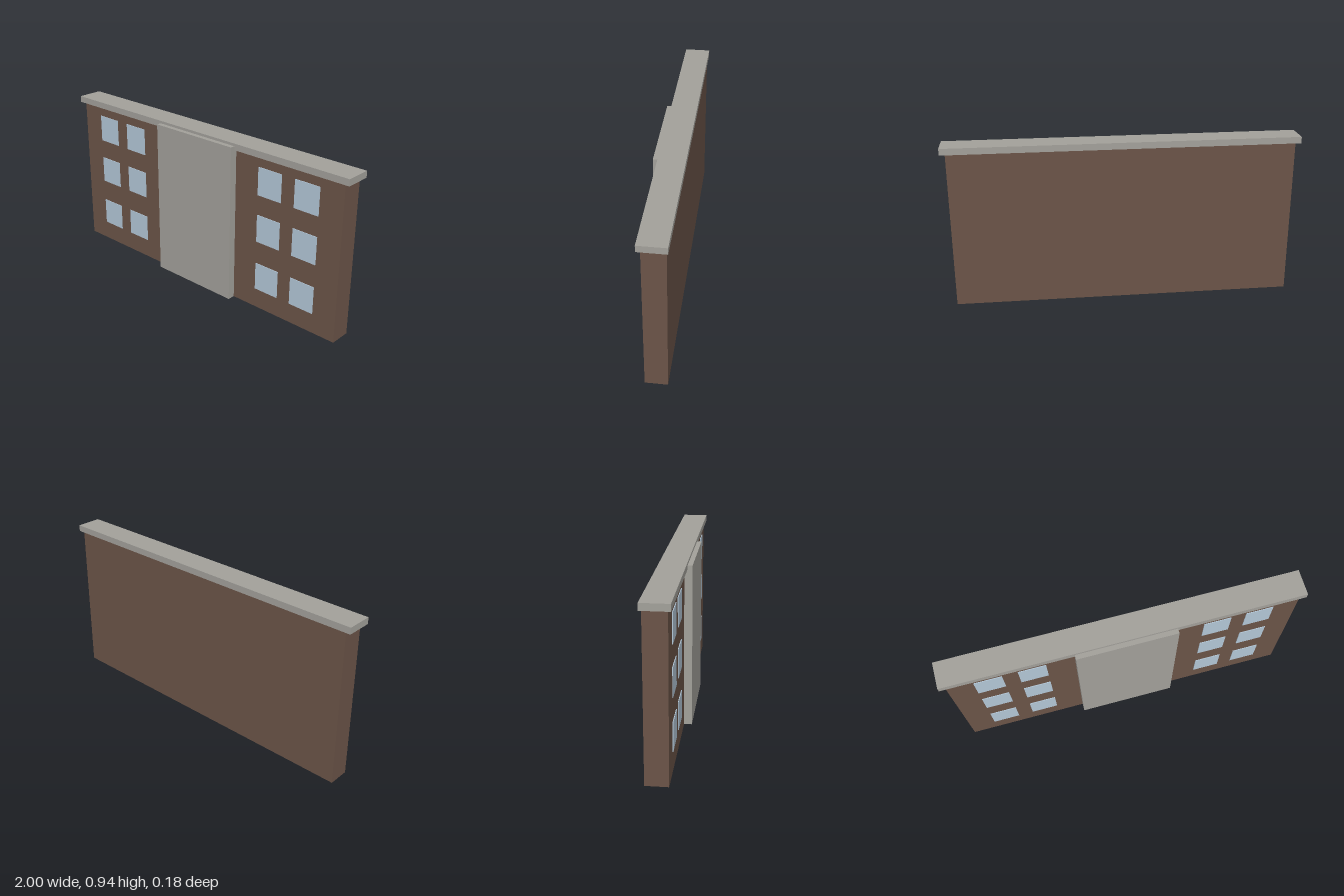
import * as THREE from 'three';

const brick = new THREE.MeshStandardMaterial({ color: 0x6b5448 });
brick.name = 'brown brick';
const concrete = new THREE.MeshStandardMaterial({ color: 0xa3a19b });
concrete.name = 'grey concrete';
const glass = new THREE.MeshStandardMaterial({ color: 0xb4c8d8 });
glass.name = 'pale blue glass';

// Box given by its lower and upper corners
function block(name, material, [x0, y0, z0], [x1, y1, z1]) {
  const mesh = new THREE.Mesh(new THREE.BoxGeometry(x1 - x0, y1 - y0, z1 - z0), material);
  mesh.position.set((x0 + x1) / 2, (y0 + y1) / 2, (z0 + z1) / 2);
  mesh.name = name;
  return mesh;
}

export function createModel() {
  const building = new THREE.Group();
  building.name = 'building';

  // Main slab, overhanging flat roof and central entrance panel
  const wallFront = 0.044;
  building.add(
    block('walls', brick, [-0.97, 0, -0.078], [0.97, 0.9, wallFront]),
    block('roof', concrete, [-1, 0.9, -0.088], [1, 0.937, 0.061]),
    block('centralPanel', concrete, [-0.28, 0, 0.03], [0.28, 0.922, 0.088]),
  );

  // Three floors of paired windows on each wing
  const windows = new THREE.Group();
  windows.name = 'windows';
  const width = 0.153, height = 0.16;
  for (const side of [-1, 1]) {
    for (const x of [0.513, 0.751]) {
      for (const y of [0.196, 0.488, 0.763]) {
        windows.add(block('window', glass,
          [side * x - width / 2, y - height / 2, wallFront - 0.004],
          [side * x + width / 2, y + height / 2, wallFront + 0.004]));
      }
    }
  }
  building.add(windows);
  return building;
}
